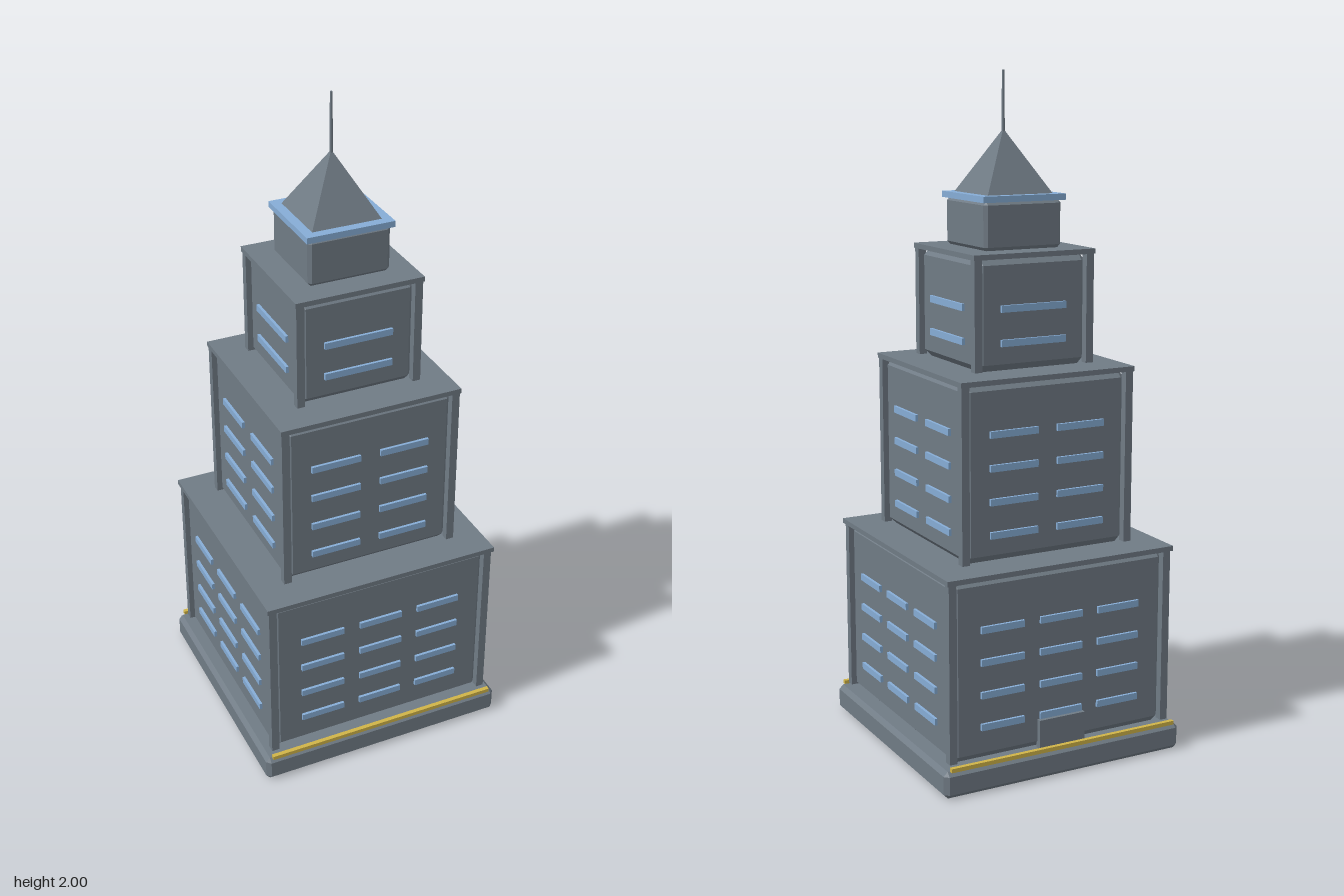
import * as THREE from 'three';
import { ConvexGeometry } from 'three/addons/geometries/ConvexGeometry.js';

const mat = (name, color) => {
  const m = new THREE.MeshStandardMaterial({ color });
  m.name = name;
  return m;
};

export function createModel() {
  const stone = mat('slateStone', 0x707b85);
  const glass = mat('blueGlass', 0x86add6);
  const gold = mat('goldTrim', 0xd0b448);
  const root = new THREE.Group();
  root.name = 'steppedTower';

  const add = (parent, name, geometry, material, x = 0, y = 0, z = 0) => {
    const mesh = new THREE.Mesh(geometry, material);
    mesh.name = name;
    mesh.position.set(x, y, z);
    parent.add(mesh);
    return mesh;
  };

  // Square block between two heights, with optional chamfered edges
  const block = (parent, name, half, y0, y1, bevel, material = stone) => {
    const h = (y1 - y0) / 2;
    let geometry;
    if (bevel) {
      const points = [];
      for (const sx of [-1, 1]) for (const sy of [-1, 1]) for (const sz of [-1, 1]) {
        const a = half - bevel, b = h - bevel;
        points.push(
          new THREE.Vector3(sx * half, sy * b, sz * a),
          new THREE.Vector3(sx * a, sy * h, sz * a),
          new THREE.Vector3(sx * a, sy * b, sz * half));
      }
      geometry = new ConvexGeometry(points);
    } else {
      geometry = new THREE.BoxGeometry(2 * half, 2 * h, 2 * half);
    }
    return add(parent, name, geometry, material, 0, (y0 + y1) / 2, 0);
  };

  // Base plinth with gold strips along front and back
  block(root, 'plinth', 0.39, 0, 0.08, 0.013);
  for (const s of [-1, 1]) {
    add(root, 'goldStrip', new THREE.BoxGeometry(0.74, 0.012, 0.013), gold, 0, 0.085, s * 0.3835);
  }

  // Three shrinking tiers: body, roof slab, corner posts, window bands
  const tiers = [
    { name: 'lowerTier', half: 0.35, slab: 0.369, y0: 0.08, y1: 0.63, postY: 0.09,
      cols: [-0.19, 0, 0.19], rows: [0.18, 0.275, 0.372, 0.468], width: 0.138 },
    { name: 'middleTier', half: 0.265, slab: 0.281, y0: 0.63, y1: 1.16, postY: 0.635,
      cols: [-0.108, 0.108], rows: [0.71, 0.807, 0.905, 1.002], width: 0.153 },
    { name: 'upperTier', half: 0.18, slab: 0.196, y0: 1.16, y1: 1.497, postY: 1.165,
      cols: [0], rows: [1.242, 1.34], width: 0.21 },
  ];
  for (const t of tiers) {
    const tier = new THREE.Group();
    tier.name = t.name;
    root.add(tier);
    block(tier, 'body', t.half, t.y0, t.y1 - 0.012, 0.021);
    block(tier, 'roofSlab', t.slab, t.y1 - 0.015, t.y1, 0);

    const postHeight = t.y1 - 0.015 - t.postY;
    const p = t.half + 0.001;
    for (const sx of [-1, 1]) for (const sz of [-1, 1]) {
      add(tier, 'cornerPost', new THREE.BoxGeometry(0.024, postHeight, 0.024), stone,
        sx * p, t.postY + postHeight / 2, sz * p);
    }

    for (let side = 0; side < 4; side++) {
      const face = new THREE.Group();
      face.name = 'windowWall';
      face.rotation.y = side * Math.PI / 2;
      tier.add(face);
      for (const x of t.cols) for (const y of t.rows) {
        add(face, 'window', new THREE.BoxGeometry(t.width, 0.02, 0.009), glass, x, y, t.half + 0.004);
      }
    }
  }

  // Back entrance
  add(root, 'door', new THREE.BoxGeometry(0.15, 0.088, 0.02), stone, 0, 0.124, -0.355);

  // Crown, blue cornice, pyramid roof and spire
  block(root, 'crown', 0.125, 1.497, 1.636, 0.01);
  block(root, 'cornice', 0.133, 1.634, 1.652, 0, glass);
  const roof = new THREE.ConeGeometry(0.105 * Math.SQRT2, 0.182, 4, 1).toNonIndexed();
  roof.rotateY(Math.PI / 4);
  roof.computeVertexNormals();
  add(root, 'pyramidRoof', roof, stone, 0, 1.743, 0);
  add(root, 'spire', new THREE.CylinderGeometry(0.004, 0.005, 0.19, 8), stone, 0, 1.905, 0);

  return root;
}
